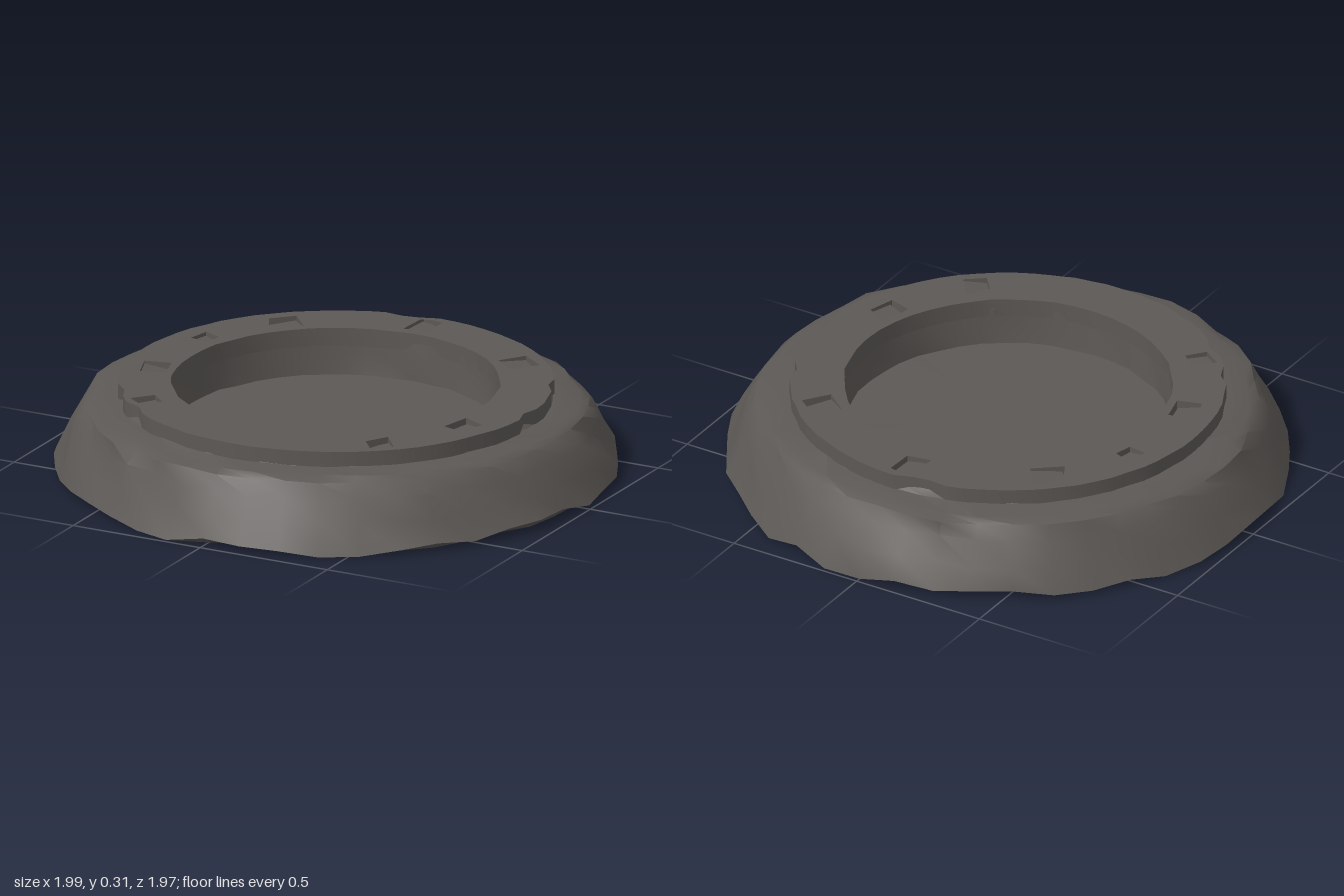
import * as THREE from 'three';
import { toCreasedNormals } from 'three/addons/utils/BufferGeometryUtils.js';

const SEG = 44;

// repeatable noise in -1..1
function noise(i, k) {
  const s = Math.sin(i * 127.1 + k * 311.7) * 43758.5453;
  return (s - Math.floor(s)) * 2 - 1;
}

// Profile of the round body: radius, height, radial wobble, height wobble
const PROFILE = [
  [0, 0.004, 0, 0],
  [0.93, 0.008, 0.015, 0.006],
  [0.988, 0.028, 0.012, 0.013],
  [0.945, 0.11, 0.014, 0.01],
  [0.905, 0.185, 0.014, 0.01],
  [0.875, 0.236, 0.013, 0.006],
  [0.84, 0.251, 0.01, 0.003],
  [0.755, 0.256, 0.004, 0.002],
  [0.735, 0.275, 0, 0],
  [0.574, 0.275, 0, 0],
  [0.57, 0.2, 0.004, 0],
  [0.565, 0.14, 0.004, 0.003],
  [0, 0.14, 0, 0],
];

function bodyGeometry() {
  const pts = PROFILE.map(([r, y]) => new THREE.Vector2(r, y));
  const geo = new THREE.LatheGeometry(pts, SEG);
  const pos = geo.attributes.position;
  for (let i = 0; i <= SEG; i++) {
    const a = (i / SEG) * Math.PI * 2;
    for (let j = 0; j < PROFILE.length; j++) {
      const [r0, y0, dr, dy] = PROFILE[j];
      const r = Math.min(1, r0 + dr * noise(i % SEG, j));
      let y = y0 + dy * noise(i % SEG, j + 20);
      // ragged teeth hanging from the lower rim
      if (j === 2 && noise(i % SEG, 50) > 0.72) y = 0.004;
      pos.setXYZ(i * PROFILE.length + j, r * Math.sin(a), Math.max(0, y), r * Math.cos(a));
    }
  }
  return toCreasedNormals(geo, 0.6);
}

// Chips in the raised ring: x, z, size
const CHIPS = [
  [-0.01, -0.675, 0.075], [-0.46, -0.475, 0.07], [0.465, -0.475, 0.075],
  [-0.62, -0.2, 0.05], [-0.635, 0.17, 0.07], [0.62, 0.2, 0.065],
  [-0.48, 0.49, 0.06], [0.45, 0.515, 0.065],
];

function ringGeometry() {
  const n = 72;
  const outline = [];
  for (let i = 0; i < n; i++) {
    const a = (i / n) * Math.PI * 2;
    const bite = noise(i, 70) > 0.82 ? 0.018 : 0;
    const r = 0.757 + 0.003 * noise(i, 71) - bite;
    outline.push(new THREE.Vector2(r * Math.cos(a), r * Math.sin(a)));
  }
  const shape = new THREE.Shape(outline);
  const inner = [];
  for (let i = 0; i < 48; i++) {
    const a = (i / 48) * Math.PI * 2;
    const r = 0.571 + 0.004 * noise(i, 72);
    inner.push(new THREE.Vector2(r * Math.cos(a), r * Math.sin(a)));
  }
  shape.holes.push(new THREE.Path(inner));
  CHIPS.forEach(([x, z, s], c) => {
    const turn = Math.atan2(-z, x) + Math.PI / 4;
    const corners = [0, 1, 2, 3].map((k) => {
      const a = turn + k * Math.PI / 2 + 0.25 * noise(c, k);
      const r = s * (1 + 0.2 * noise(c, k + 5));
      return new THREE.Vector2(x + r * Math.cos(a), -z + r * Math.sin(a));
    });
    shape.holes.push(new THREE.Path(corners));
  });
  const geo = new THREE.ExtrudeGeometry(shape, { depth: 0.065, bevelEnabled: false });
  geo.rotateX(-Math.PI / 2);
  geo.translate(0, 0.245, 0);
  return toCreasedNormals(geo, 0.5);
}

// Tilted facet that fills each chip, rising toward one corner
function chipGeometry(x, z, s, c) {
  const geo = new THREE.CircleGeometry(s * 1.15, 4);
  geo.rotateX(-Math.PI / 2);
  geo.rotateY(Math.atan2(-z, x) + Math.PI / 4);
  const tilt = 0.15 + 0.06 * noise(c, 90);
  geo.rotateZ(tilt * Math.sign(noise(c, 91)));
  geo.translate(x, 0.292, z);
  return geo;
}

export function createModel() {
  const stone = new THREE.MeshStandardMaterial({ color: 0x5c5855 });
  stone.name = 'dark stone';
  const model = new THREE.Group();
  model.name = 'stoneBasin';

  const add = (name, geometry) => {
    const mesh = new THREE.Mesh(geometry, stone);
    mesh.name = name;
    model.add(mesh);
  };

  add('basinBody', bodyGeometry());
  add('raisedRing', ringGeometry());
  CHIPS.forEach(([x, z, s], c) => add('chipFacet' + (c + 1), chipGeometry(x, z, s, c)));
  return model;
}
